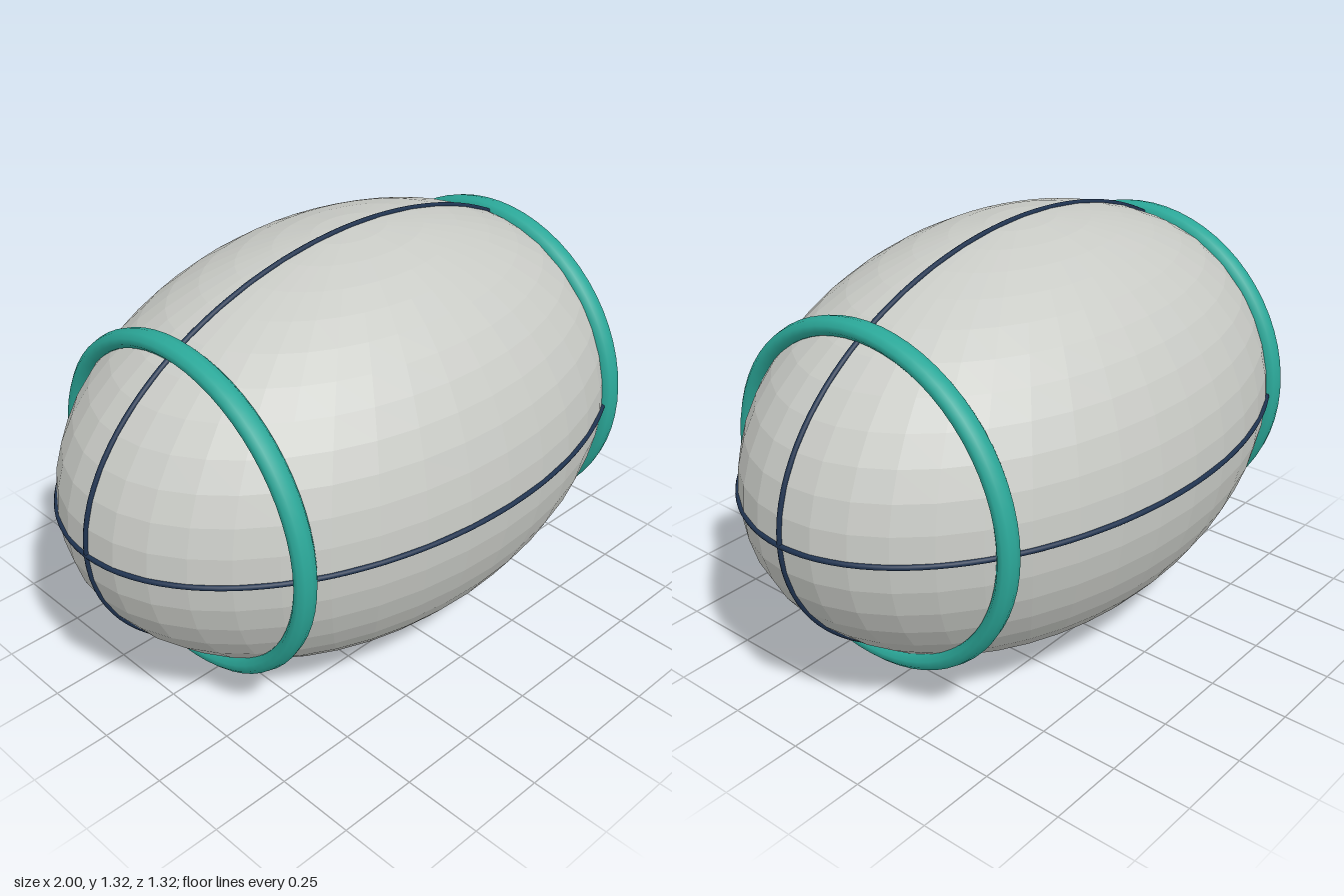
import * as THREE from 'three';

const CENTER_Y = 0.66;

export function createModel() {
  const group = new THREE.Group();
  const shell = new THREE.MeshStandardMaterial({ color: 0xc9cbc6, flatShading: true });
  shell.name = 'light grey';
  const teal = new THREE.MeshStandardMaterial({ color: 0x2ba899 });
  teal.name = 'teal';
  const navy = new THREE.MeshStandardMaterial({ color: 0x1f3350 });
  navy.name = 'navy';

  const add = (name, geometry, material, x = 0) => {
    const mesh = new THREE.Mesh(geometry, material);
    mesh.name = name;
    mesh.position.set(x, CENTER_Y, 0);
    group.add(mesh);
    return mesh;
  };

  // faceted ellipsoid body, poles on the vertical axis
  add('body', new THREE.SphereGeometry(1, 40, 24).scale(0.993, 0.65, 0.65), shell);

  // thin seams running lengthwise around the body
  const seamPoints = [];
  for (let i = 0; i < 64; i++) {
    const a = (i / 64) * Math.PI * 2;
    seamPoints.push(new THREE.Vector3(0.992 * Math.cos(a), 0.651 * Math.sin(a), 0));
  }
  const seamCurve = new THREE.CatmullRomCurve3(seamPoints, true);
  const seam = new THREE.TubeGeometry(seamCurve, 128, 0.008, 8, true);
  add('verticalSeam', seam, navy);
  add('horizontalSeam', seam, navy).rotation.x = Math.PI / 2;

  // raised bands near both ends, a little wider than they are tall
  const band = new THREE.TorusGeometry(0.502, 0.028, 10, 64).rotateY(Math.PI / 2).scale(1.32, 1, 1);
  add('leftBand', band, teal, 0.655);
  add('rightBand', band, teal, -0.655);

  return group;
}
